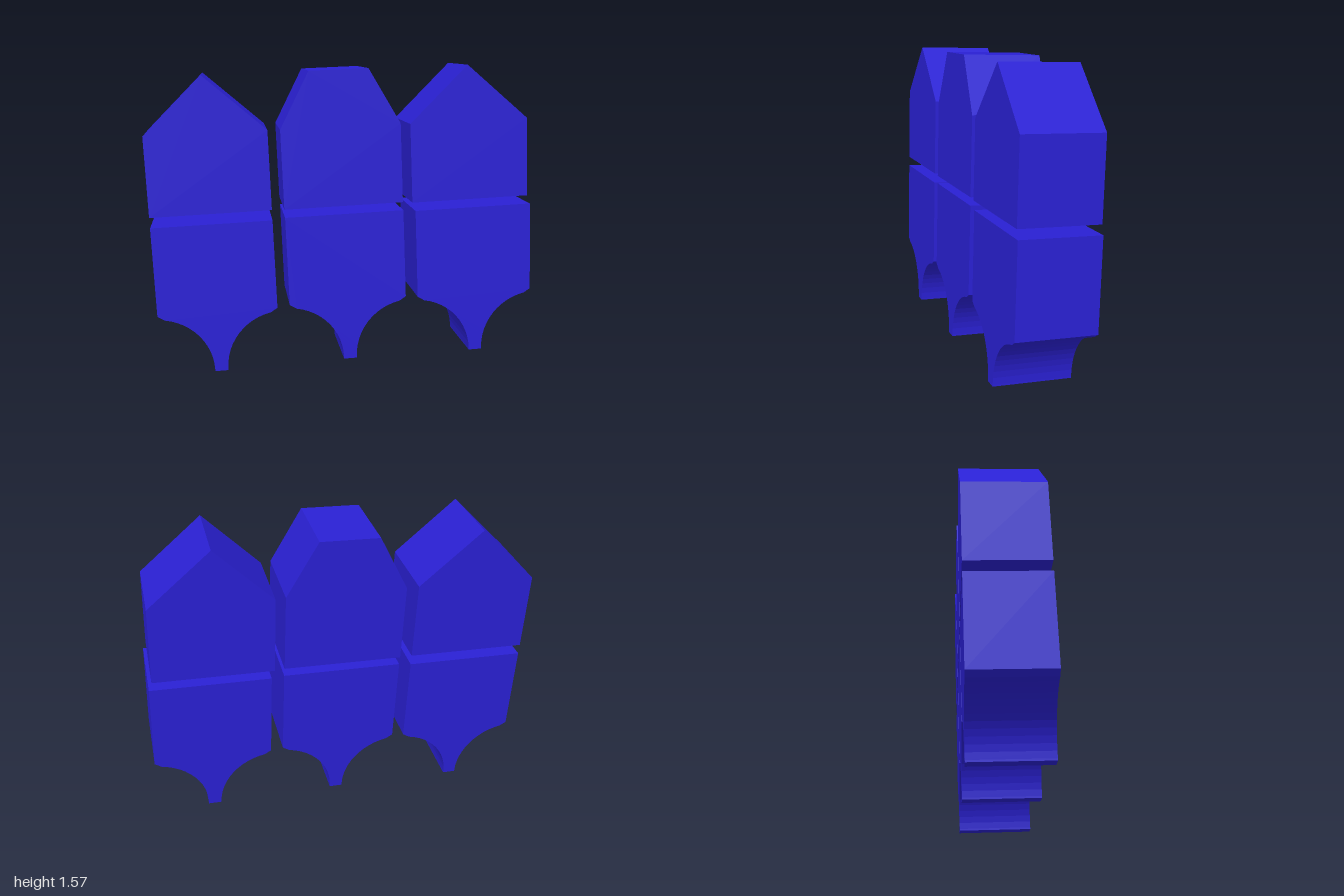
import * as THREE from 'three';

const DEPTH = 0.4;
const HALF = 0.305; // half width of every tile

const material = new THREE.MeshStandardMaterial({ color: 0x2a20d4 });
material.flatShading = true;

// Extrude an outline backwards from its front face at z = 0
function solid(points) {
  const shape = new THREE.Shape(points.map(([x, y]) => new THREE.Vector2(x, y)));
  const geometry = new THREE.ExtrudeGeometry(shape, { depth: DEPTH, bevelEnabled: false });
  return geometry.translate(0, 0, -DEPTH);
}

// Upper tile: origin at the bottom centre, topped by a roof of the given half width
function upperTile(roofHalf) {
  const roof = roofHalf > 0 ? [[roofHalf, 0.688], [-roofHalf, 0.688]] : [[-0.003, 0.688]];
  return solid([[-HALF, 0], [HALF, 0], [HALF, 0.405], ...roof, [-HALF, 0.405]]);
}

// Lower tile: origin at the top centre, narrowing through two hollow arcs to a stem
function lowerTile() {
  const right = [[HALF, 0], [HALF, -0.46]];
  const steps = 12, radius = 0.288;
  for (let i = 0; i <= steps; i++) {
    const a = THREE.MathUtils.lerp(1.75, Math.PI, i / steps);
    right.push([0.322 + radius * Math.cos(a), -0.765 + radius * Math.sin(a)]);
  }
  right.push([0.034, -0.775]);
  const left = right.map(([x, y]) => [-x, y]).reverse();
  return solid([...right, ...left]);
}

export function createModel() {
  const model = new THREE.Group();
  model.name = 'sixTileBlock';

  const gable = upperTile(0);
  const flatTop = upperTile(0.15);
  const stem = lowerTile();

  // Name, geometry and front-face origin of each tile
  const tiles = [
    ['upperRightTile', gable, -0.678, 0.84],
    ['upperMiddleTile', flatTop, -0.006, 0.862],
    ['upperLeftTile', gable, 0.653, 0.88],
    ['lowerRightTile', stem, -0.676, 0.787],
    ['lowerMiddleTile', stem, -0.003, 0.82],
    ['lowerLeftTile', stem, 0.67, 0.836],
  ];
  for (const [name, geometry, x, y] of tiles) {
    const tile = new THREE.Mesh(geometry, material);
    tile.name = name;
    // All tiles share one slightly tilted plane
    tile.position.set(x, y, 0.195 + 0.035 * x - 0.038 * (y - 0.8));
    tile.rotation.set(-0.038, -0.035, 0.035);
    model.add(tile);
  }
  return model;
}
